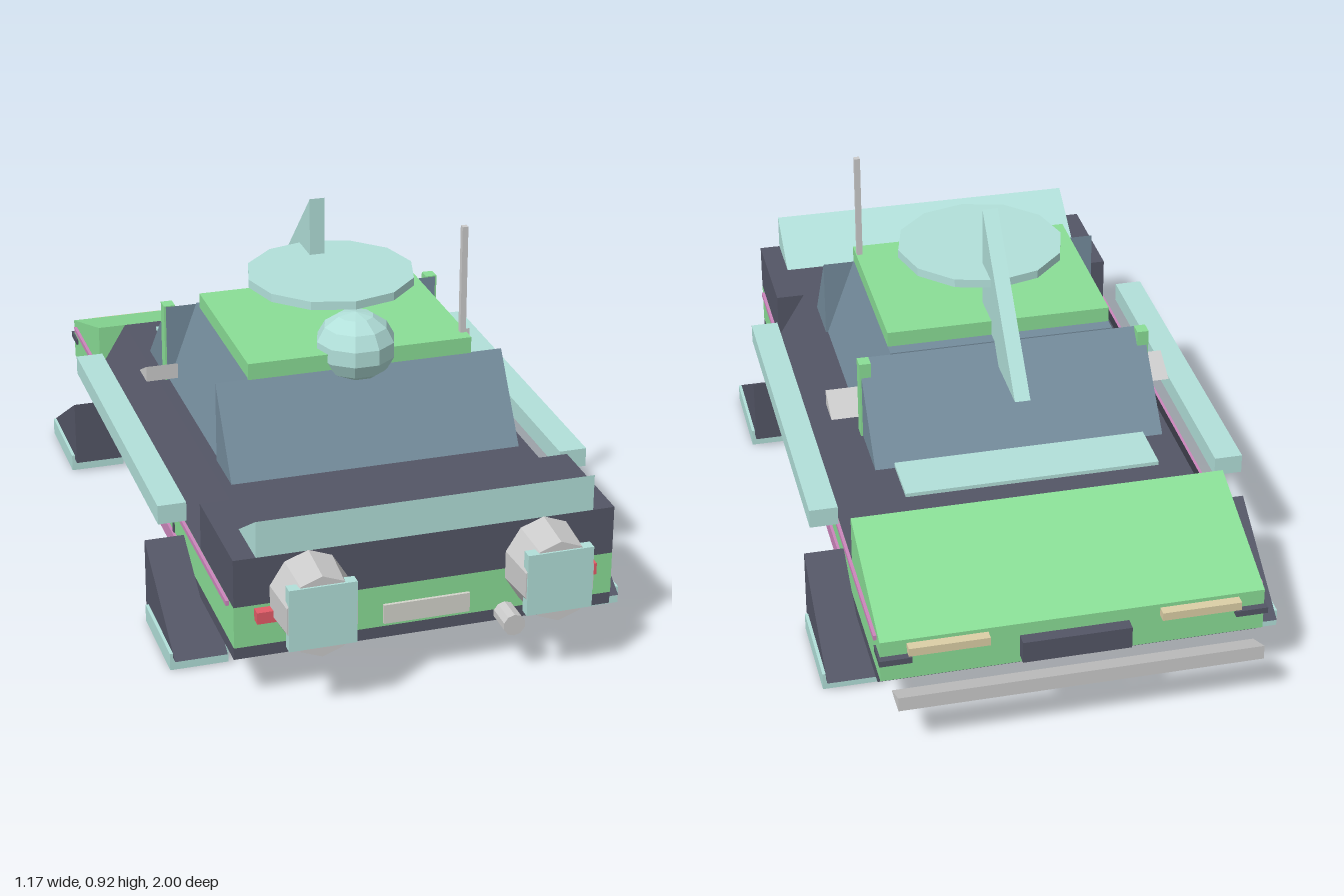
import * as THREE from 'three';

const mat = (color) => new THREE.MeshStandardMaterial({ color, flatShading: true });
const M = {
  green: mat(0x8ade96), dark: mat(0x545666), cyan: mat(0xb2e0da), glass: mat(0x748c9c),
  purple: mat(0xcc86bc), red: mat(0xe45c68), cream: mat(0xdccfa6), plate: mat(0xd4d4cc), grey: mat(0xcccccc),
};

export function createModel() {
  const root = new THREE.Group();

  const add = (name, geo, m) => {
    const mesh = new THREE.Mesh(geo, m);
    mesh.name = name;
    root.add(mesh);
    return mesh;
  };
  // Box given by its limits on each axis
  const box = (name, m, [x0, x1], [y0, y1], [z0, z1]) =>
    add(name, new THREE.BoxGeometry(x1 - x0, y1 - y0, z1 - z0)
      .translate((x0 + x1) / 2, (y0 + y1) / 2, (z0 + z1) / 2), m);
  const extrude = (pts, depth) => new THREE.ExtrudeGeometry(
    new THREE.Shape(pts.map(([a, b]) => new THREE.Vector2(a, b))), { depth, bevelEnabled: false });
  // Side profile in (z, y), spread across x0..x1
  const sideProfile = (name, m, pts, [x0, x1]) =>
    add(name, extrude(pts, x1 - x0).rotateY(-Math.PI / 2).translate(x1, 0, 0), m);
  // Cross-section in (x, y), run along z0..z1
  const crossSection = (name, m, pts, [z0, z1]) =>
    add(name, extrude(pts, z1 - z0).translate(0, 0, z0), m);
  const span = (s, a, b) => (s > 0 ? [a, b] : [-b, -a]);

  // Body
  const W = 0.475;
  box('floorPan', M.dark, [-W, W], [0.118, 0.15], [-0.87, 0.877]);
  box('lowerBody', M.green, [-W, W], [0.15, 0.258], [-0.91, 0.88]);
  box('frontDeck', M.dark, [-W, W], [0.258, 0.382], [0.575, 0.88]);
  crossSection('middleDeck', M.dark,
    [[-W, 0.258], [W, 0.258], [0.4, 0.382], [-0.4, 0.382]], [-0.555, 0.575]);
  sideProfile('slopedHood', M.green, [[-0.555, 0.258], [-0.555, 0.382], [-0.91, 0.262], [-0.91, 0.258]], [-W, W]);
  sideProfile('frontSpoiler', M.cyan, [[0.88, 0.382], [0.88, 0.475], [0.73, 0.382]], [-0.42, 0.42]);
  box('deckPanel', M.cyan, [-0.325, 0.325], [0.382, 0.392], [-0.495, -0.35]);

  // Cabin
  crossSection('sideWindows', M.glass,
    [[-0.37, 0.38], [0.37, 0.38], [0.292, 0.595], [-0.292, 0.595]], [-0.155, 0.355]);
  sideProfile('frontWindow', M.glass, [[0.5, 0.38], [0.355, 0.592], [0.355, 0.38]], [-0.375, 0.375]);
  sideProfile('rearWindow', M.glass, [[-0.36, 0.38], [-0.155, 0.592], [-0.155, 0.38]], [-0.375, 0.375]);
  box('roof', M.green, [-0.292, 0.292], [0.592, 0.635], [-0.12, 0.36]);

  // Roof equipment
  add('roofDisc', new THREE.CylinderGeometry(0.218, 0.218, 0.022, 12).translate(0, 0.74, 0.1), M.cyan);
  const ball = add('sensorBall', new THREE.SphereGeometry(0.104, 10, 7), M.cyan);
  ball.scale.y = 0.87;
  ball.position.set(0, 0.632, 0.315);
  sideProfile('roofFin', M.cyan, [[-0.018, 0.545], [-0.018, 0.905], [-0.378, 0.545]], [-0.02, 0.02]);
  box('antenna', M.grey, [0.275, 0.29], [0.63, 0.92], [0.31, 0.325]);

  // Front and back details
  box('frontPlate', M.plate, [-0.108, 0.108], [0.16, 0.21], [0.87, 0.888]);
  add('exhaust', new THREE.CylinderGeometry(0.028, 0.028, 0.09, 10)
    .rotateX(Math.PI / 2).translate(0.2, 0.14, 0.905), M.grey);
  box('rearGrille', M.dark, [-0.135, 0.135], [0.17, 0.228], [-0.942, -0.9]);
  sideProfile('rearBumper', M.grey, [[-0.918, 0.125], [-1, 0.125], [-1, 0.163]], [-0.45, 0.45]);

  for (const s of [1, -1]) {
    // Side trim
    box('sideStripe', M.purple, span(s, 0.47, 0.483), [0.244, 0.257], [-0.872, 0.84]);
    box('sill', M.purple, span(s, 0.46, 0.482), [0.13, 0.17], [-0.385, 0.36]);
    for (const z of [0.302, -0.026]) {
      box('doorLine', M.dark, span(s, 0.46, 0.478), [0.165, 0.245], [z - 0.006, z + 0.006]);
    }
    box('doorHandle', M.grey, span(s, 0.47, 0.489), [0.219, 0.235], [0.17, 0.247]);
    box('sideRail', M.cyan, span(s, 0.489, 0.561), [0.299, 0.349], [-0.452, 0.495]);

    // Pillars and mirrors
    box('pillar', M.green, span(s, 0.35, 0.38), [0.38, 0.594], [-0.192, -0.157]);
    sideProfile('mirror', M.grey, [[-0.078, 0.462], [-0.078, 0.42], [-0.158, 0.42]], span(s, 0.365, 0.45));

    // Landing legs
    for (const [tip, heel, z0, z1] of [[0.706, 0.404, 0.43, 0.685], [-0.74, -0.435, -0.717, -0.46]]) {
      sideProfile('leg', M.dark, [[tip, 0.033], [heel, 0.033], [heel, 0.212]], span(s, 0.445, 0.576));
      box('foot', M.cyan, span(s, 0.438, 0.584), [0, 0.045], [z0, z1]);
    }

    // Thrusters
    const thruster = add('thruster', new THREE.CylinderGeometry(0.09, 0.1, 0.13, 10).rotateX(Math.PI / 2), M.grey);
    thruster.scale.y = 1.17;
    thruster.position.set(s * 0.293, 0.268, 0.93);
    box('thrusterPlate', M.cyan, span(s, 0.21, 0.375), [0.19, 0.35], [0.972, 1]);

    // Lights and corner trim
    box('redLight', M.red, span(s, 0.36, 0.425), [0.22, 0.25], [0.87, 0.906]);
    box('creamLight', M.cream, span(s, 0.212, 0.41), [0.23, 0.252], [-0.935, -0.9]);
    box('cornerTrim', M.dark, span(s, 0.4, 0.48), [0.205, 0.221], [-0.928, -0.86]);
  }
  return root;
}
